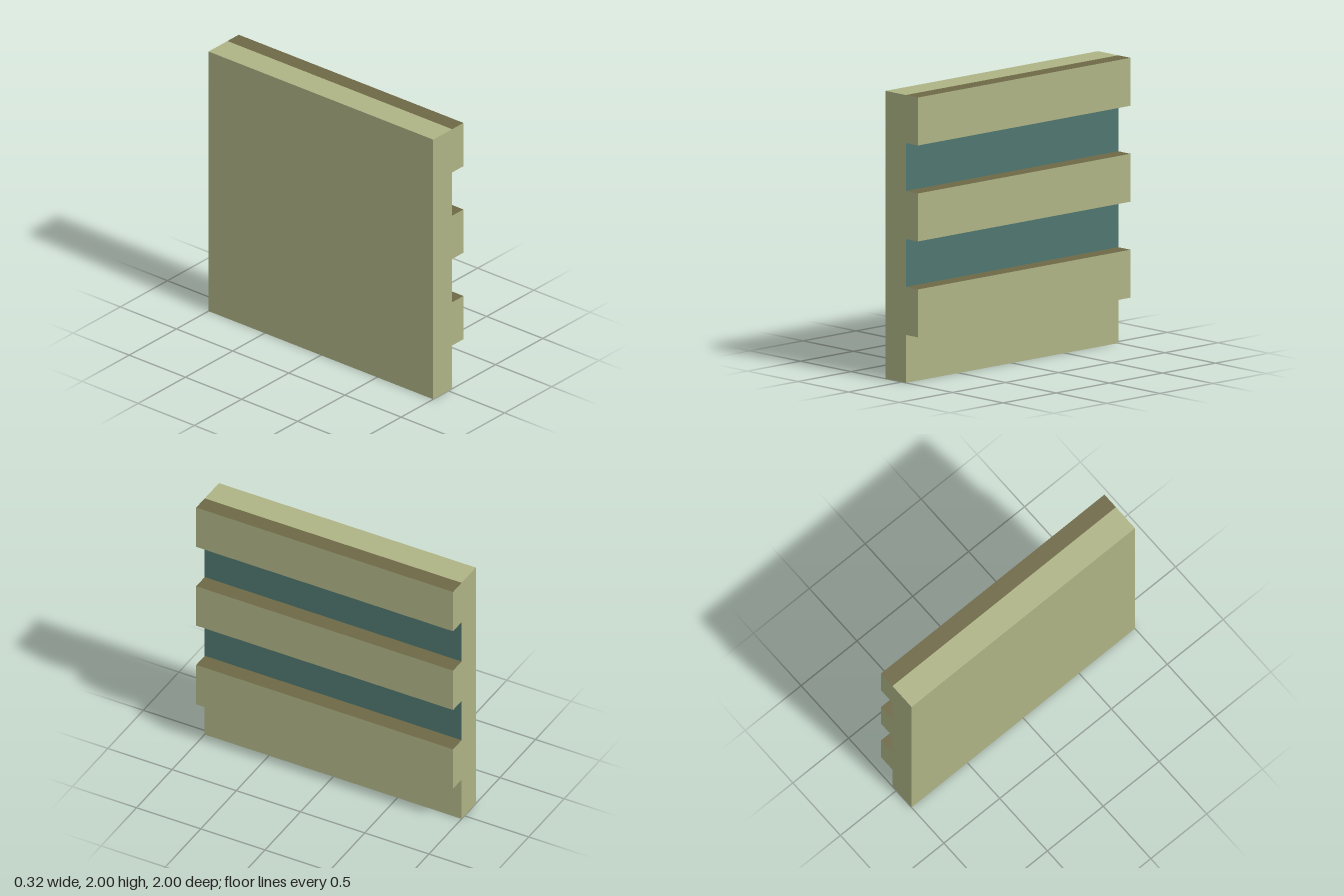
import * as THREE from 'three';

const BACK = -0.16, STEP = 0.04, FRONT = 0.16; // x of panel back, groove floor, slat face
const ROWS = 6, HEIGHT = 2, DEPTH = 2;
const ROW = HEIGHT / ROWS;

export function createModel() {
  const olive = new THREE.MeshStandardMaterial({ color: 0xaeb385 });
  olive.name = 'paleOlive';
  const teal = new THREE.MeshStandardMaterial({ color: 0x50766f });
  teal.name = 'mutedTeal';
  const brown = new THREE.MeshStandardMaterial({ color: 0x6d6845 });
  brown.name = 'darkOliveBrown';

  const model = new THREE.Group();
  model.name = 'slattedPanel';

  // Back panel, its +x face divided into equal rows from the top down
  const panelGeo = new THREE.BoxGeometry(STEP - BACK, HEIGHT, DEPTH, 1, ROWS, 1);
  panelGeo.clearGroups();
  for (let row = 0; row < ROWS; row++) {
    const isGroove = row === 1 || row === 3; // exposed floors between slats
    panelGeo.addGroup(row * 6, 6, isGroove ? 1 : 0);
  }
  panelGeo.addGroup(ROWS * 6, panelGeo.index.count - ROWS * 6, 0);
  const panel = new THREE.Mesh(panelGeo, [olive, teal]);
  panel.name = 'backPanel';
  panel.position.set((BACK + STEP) / 2, HEIGHT / 2, 0);
  model.add(panel);

  // Three horizontal slats with brown upper and lower faces
  const slatGeo = new THREE.BoxGeometry(FRONT - STEP, ROW, DEPTH);
  const slatFaces = [olive, olive, brown, brown, olive, olive];
  ['lowerSlat', 'middleSlat', 'upperSlat'].forEach((name, i) => {
    const slat = new THREE.Mesh(slatGeo, slatFaces);
    slat.name = name;
    slat.position.set((STEP + FRONT) / 2, ROW * (2 * i + 1.5), 0);
    model.add(slat);
  });

  return model;
}
